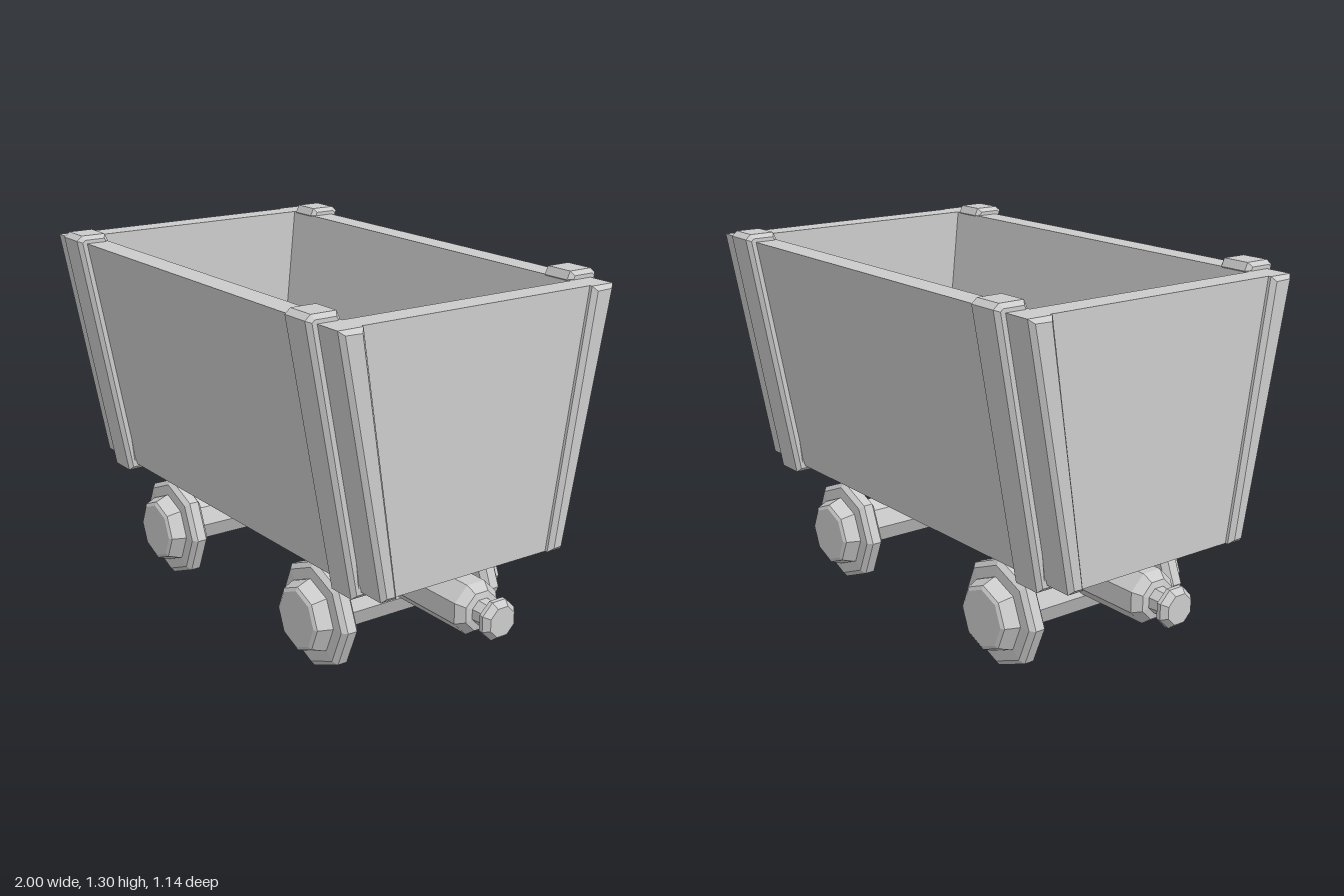
import * as THREE from 'three';

const material = new THREE.MeshStandardMaterial({ color: 0xcccccc, flatShading: true });

function add(parent, name, geometry) {
  const mesh = new THREE.Mesh(geometry, material);
  mesh.name = name;
  parent.add(mesh);
  return mesh;
}

// Eight-sided turned part from [radius, position along axis] pairs
function turned(profile, phi = 0) {
  return new THREE.LatheGeometry(profile.map(p => new THREE.Vector2(...p)), 8, phi);
}

// Plate drawn in (z, y), extruded along x and centred, with chamfered faces
function plate(points, width, bevel) {
  const shape = new THREE.Shape(points.map(p => new THREE.Vector2(...p)));
  const depth = width - 2 * bevel;
  return new THREE.ExtrudeGeometry(shape, {
    depth, bevelThickness: bevel, bevelSize: bevel, bevelOffset: -bevel, bevelSegments: 1,
  }).translate(0, 0, -depth / 2).rotateY(Math.PI / 2);
}

// Skin over stacked rectangles [half x, y, half z], closed at both ends
function rectangleLoft(rings) {
  const position = [], index = [];
  for (const [x, y, z] of rings) position.push(-x, y, z, x, y, z, x, y, -z, -x, y, -z);
  for (let r = 0; r < rings.length - 1; r++) {
    for (let i = 0; i < 4; i++) {
      const a = r * 4 + i, b = r * 4 + (i + 1) % 4;
      index.push(a, b, b + 4, a, b + 4, a + 4);
    }
  }
  const n = (rings.length - 1) * 4;
  index.push(0, 2, 1, 0, 3, 2, n, n + 1, n + 2, n, n + 2, n + 3);
  const geometry = new THREE.BufferGeometry();
  geometry.setAttribute('position', new THREE.Float32BufferAttribute(position, 3));
  geometry.setIndex(index);
  const flat = geometry.toNonIndexed();
  flat.computeVertexNormals();
  return flat;
}

export function createModel() {
  const cart = new THREE.Group();
  cart.name = 'mineCart';

  // Open tub with flared sides, upright ends and a floor
  const tub = new THREE.Group();
  tub.name = 'tub';
  tub.position.x = -0.018;
  cart.add(tub);
  add(tub, 'tubShell', rectangleLoft([
    [0.87, 0.4, 0.372], [0.87, 1.27, 0.537], [0.783, 1.27, 0.45], [0.783, 0.45, 0.367],
  ]));

  // U-shaped straps running down both sides and under the floor
  const half = [[0.4, 0.377], [0.57, 1.28], [0.55, 1.297], [0.46, 1.297], [0.447, 1.27], [0.455, 1.26], [0.37, 0.43]];
  const strapOutline = [...half, ...half.map(([z, y]) => [-z, y]).reverse()];
  for (const side of [-1, 1]) {
    add(tub, 'strap', plate(strapOutline, 0.13, 0.014)).position.x = side * 0.717;
  }

  // Slanted corner boards on the two ends
  for (const end of [-1, 1]) {
    for (const side of [-1, 1]) {
      const board = [[0.312, 0.4], [0.372, 0.4], [0.537, 1.27], [0.447, 1.27]].map(([z, y]) => [side * z, y]);
      add(tub, 'cornerBoard', plate(board, 0.065, 0.015)).position.x = end * 0.8625;
    }
  }

  // Chassis beam with a buffer knob at each end
  const endProfile = [[0.092, 0.87], [0.068, 0.9], [0.045, 0.905], [0.042, 0.945], [0.07, 0.965], [0.07, 0.98], [0.052, 1], [0, 1]];
  const beamProfile = [...endProfile.map(([r, x]) => [r, -x]).reverse(), ...endProfile];
  const beam = add(cart, 'chassisBeam', turned(beamProfile, Math.PI / 8));
  beam.rotation.z = -Math.PI / 2;
  beam.position.y = 0.29;

  // Two axles with a flanged wheel on each side
  const wheelProfile = [
    [0, 0.268], [0.165, 0.268], [0.188, 0.285], [0.188, 0.32], [0.17, 0.335],
    [0.13, 0.337], [0.13, 0.345], [0.113, 0.388], [0.1, 0.395], [0, 0.395],
  ];
  for (const x of [-0.5, 0.44]) {
    const wheelset = new THREE.Group();
    wheelset.name = 'wheelset';
    wheelset.position.set(x, 0.188, 0);
    cart.add(wheelset);
    const axle = add(wheelset, 'axle', turned([[0.088, -0.28], [0.088, 0.28]]));
    axle.rotation.x = Math.PI / 2;
    axle.position.y = 0.012;
    for (const side of [-1, 1]) {
      add(wheelset, 'wheel', turned(wheelProfile)).rotation.x = side * Math.PI / 2;
    }
  }
  return cart;
}
